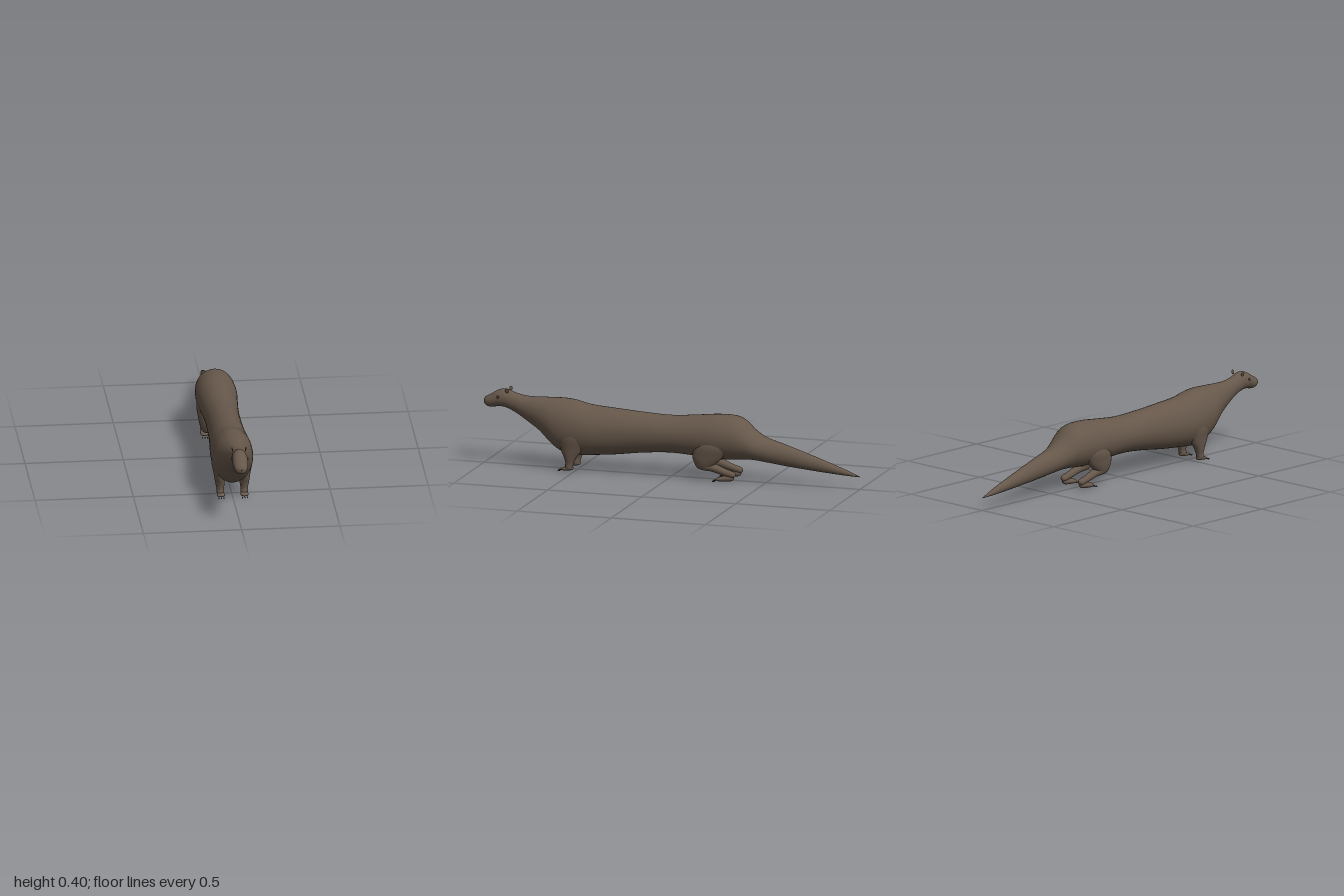
import * as THREE from 'three';

const fur = new THREE.MeshStandardMaterial({ color: 0x66574a });
fur.name = 'brown fur';
const dark = new THREE.MeshStandardMaterial({ color: 0x40362e });
dark.name = 'dark brown';

// Smooth loft through elliptical sections [x, y, z, halfWidth, halfDepth, tilt in degrees]
function loft(name, sections, steps = 6, sides = 32) {
  const spline = (f) => new THREE.CatmullRomCurve3(
    sections.map((s) => new THREE.Vector3(...f(s))), false, 'catmullrom', 0.5);
  const path = spline((s) => [s[0], s[1], s[2]]);
  const size = spline((s) => [s[3], s[4], THREE.MathUtils.degToRad(s[5] || 0)]);
  const rings = (sections.length - 1) * steps;
  const pos = [], index = [];
  for (let i = 0; i <= rings; i++) {
    const p = path.getPoint(i / rings), r = size.getPoint(i / rings);
    for (let j = 0; j < sides; j++) {
      const a = (j / sides) * Math.PI * 2;
      const u = Math.cos(a) * Math.max(r.x, 0.0005);
      const v = Math.sin(a) * Math.max(r.y, 0.0005);
      pos.push(p.x + u, p.y + v * Math.cos(r.z), p.z + v * Math.sin(r.z));
      if (i === rings) continue;
      const k = (j + 1) % sides, n = i * sides;
      index.push(n + j, n + k, n + sides + j, n + k, n + sides + k, n + sides + j);
    }
  }
  const geo = new THREE.BufferGeometry();
  geo.setAttribute('position', new THREE.Float32BufferAttribute(pos, 3));
  geo.setIndex(index);
  geo.computeVertexNormals();
  const mesh = new THREE.Mesh(geo, fur);
  mesh.name = name;
  return mesh;
}

function blob(name, material, position, scale) {
  const mesh = new THREE.Mesh(new THREE.SphereGeometry(1, 16, 12), material);
  mesh.name = name;
  mesh.position.set(...position);
  mesh.scale.set(...scale);
  return mesh;
}

// Body section from its top and bottom heights
const span = (z, top, bottom, w) => [0, (top + bottom) / 2, z, w, (top - bottom) / 2];

// Flat paw pointing forward, with three small claws
function paw(name, x, heelZ, toeZ, height) {
  const group = new THREE.Group();
  group.name = name;
  const len = toeZ - heelZ, at = (t) => heelZ + len * t;
  group.add(loft('foot', [
    [x, height, heelZ, 0.001, 0.001],
    [x, height * 0.95, at(0.12), 0.013, height * 0.55],
    [x, height * 0.8, at(0.5), 0.019, height * 0.6],
    [x, height * 0.6, at(0.85), 0.019, height * 0.4],
    [x, height * 0.5, toeZ, 0.001, 0.001],
  ], 5, 20));
  for (const d of [-0.013, 0, 0.013])
    group.add(blob('claw', dark, [x + d, 0.004, toeZ + 0.008], [0.003, 0.004, 0.007]));
  return group;
}

export function createModel() {
  const model = new THREE.Group();
  model.name = 'longBodiedAnimal';

  // Tail, trunk, neck and head in one skin
  model.add(loft('body', [
    span(-1, 0.066, 0.063, 0.001),
    span(-0.9, 0.105, 0.068, 0.016),
    span(-0.75, 0.157, 0.08, 0.029),
    span(-0.6, 0.205, 0.095, 0.043),
    span(-0.5, 0.235, 0.108, 0.06),
    span(-0.44, 0.27, 0.115, 0.078),
    span(-0.39, 0.315, 0.115, 0.092),
    span(-0.34, 0.336, 0.11, 0.101),
    span(-0.25, 0.338, 0.108, 0.105),
    span(-0.15, 0.328, 0.115, 0.098),
    span(0, 0.315, 0.123, 0.089),
    span(0.15, 0.32, 0.112, 0.089),
    span(0.3, 0.33, 0.092, 0.094),
    span(0.43, 0.34, 0.08, 0.104),
    span(0.51, 0.358, 0.074, 0.105),
    span(0.57, 0.364, 0.085, 0.102),
    span(0.63, 0.363, 0.122, 0.092),
    span(0.7, 0.361, 0.188, 0.068),
    span(0.77, 0.361, 0.235, 0.047),
    span(0.83, 0.373, 0.272, 0.037),
    span(0.88, 0.39, 0.294, 0.039),
    span(0.92, 0.384, 0.298, 0.04),
    span(0.955, 0.364, 0.292, 0.037),
    span(0.98, 0.35, 0.296, 0.031),
    span(0.994, 0.34, 0.306, 0.02),
    span(1, 0.327, 0.321, 0.001),
  ], 5, 40));

  for (const [side, s] of [['left', 1], ['right', -1]]) {
    // Front leg
    model.add(loft(side + 'FrontLeg', [
      [s * 0.058, 0.27, 0.5, 0.02, 0.03, 90],
      [s * 0.066, 0.19, 0.505, 0.037, 0.075, 90],
      [s * 0.064, 0.115, 0.515, 0.029, 0.056, 90],
      [s * 0.062, 0.07, 0.522, 0.024, 0.032, 90],
      [s * 0.061, 0.04, 0.526, 0.019, 0.021, 90],
      [s * 0.06, 0.014, 0.53, 0.018, 0.019, 90],
      [s * 0.06, 0.008, 0.53, 0.001, 0.001, 90],
    ]));
    model.add(paw(side + 'FrontPaw', s * 0.06, 0.505, 0.57, 0.018));

    // Hind leg: thigh down to the knee, then the shin running back to the heel
    model.add(loft(side + 'Thigh', [
      [s * 0.055, 0.26, -0.25, 0.02, 0.03, 90],
      [s * 0.065, 0.19, -0.235, 0.038, 0.085, 90],
      [s * 0.064, 0.13, -0.21, 0.034, 0.08, 90],
      [s * 0.062, 0.09, -0.195, 0.028, 0.055, 90],
      [s * 0.06, 0.065, -0.19, 0.018, 0.034, 90],
      [s * 0.06, 0.056, -0.19, 0.001, 0.001, 90],
    ]));
    model.add(loft(side + 'Shin', [
      [s * 0.061, 0.095, -0.15, 0.001, 0.001, 160],
      [s * 0.061, 0.085, -0.18, 0.023, 0.026, 160],
      [s * 0.06, 0.072, -0.24, 0.021, 0.022, 160],
      [s * 0.06, 0.052, -0.3, 0.017, 0.018, 160],
      [s * 0.06, 0.04, -0.345, 0.015, 0.016, 160],
      [s * 0.06, 0.036, -0.358, 0.001, 0.001, 160],
    ]));
    model.add(paw(side + 'HindPaw', s * 0.06, -0.35, -0.25, 0.025));

    // Ears and eyes
    const ear = blob(side + 'Ear', fur, [s * 0.034, 0.386, 0.868], [0.0025, 0.012, 0.009]);
    ear.rotation.z = -s * 0.2;
    model.add(ear);
    model.add(blob(side + 'Eye', dark, [s * 0.037, 0.352, 0.915], [0.007, 0.007, 0.008]));
  }
  return model;
}
